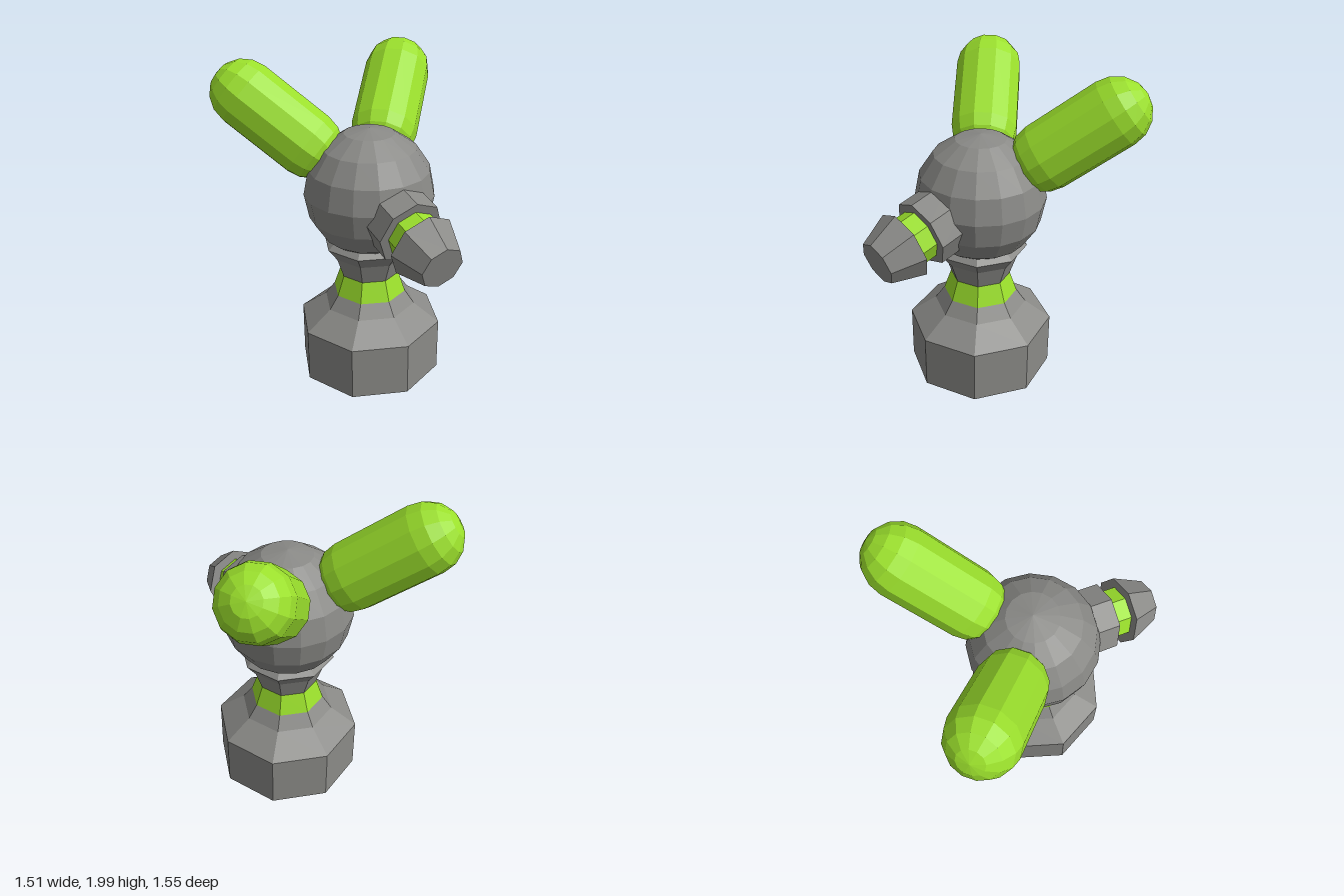
import * as THREE from 'three';

export function createModel() {
  const grey = new THREE.MeshStandardMaterial({ color: 0x8a8a87, flatShading: true });
  grey.name = 'stone grey';
  const green = new THREE.MeshStandardMaterial({ color: 0x9be02c, flatShading: true });
  green.name = 'lime green';

  const model = new THREE.Group();
  const add = (parent, name, geometry, material) => {
    const mesh = new THREE.Mesh(geometry, material);
    mesh.name = name;
    parent.add(mesh);
    return mesh;
  };
  // Eight-sided turned part from [radius, height] pairs
  const turned = (profile) =>
    new THREE.LatheGeometry(profile.map(([r, y]) => new THREE.Vector2(r, y)), 8);

  // Pedestal and head share one vertical axis
  const body = new THREE.Group();
  body.name = 'body';
  body.position.z = -0.03;
  model.add(body);
  add(body, 'base', turned([[0, 0], [0.46, 0], [0.46, 0.345], [0.295, 0.465], [0.235, 0.55]]), grey);
  add(body, 'neckBand', turned([[0.235, 0.55], [0.19, 0.68]]), green);
  add(body, 'neckCollar', turned([[0.19, 0.68], [0.235, 0.81], [0.295, 0.89], [0.25, 0.93], [0, 0.93]]), grey);
  add(body, 'head', new THREE.SphereGeometry(0.405, 16, 8), grey).position.y = 1.23;

  // Snout, built along y and tipped forward and slightly down
  const snout = new THREE.Group();
  snout.name = 'snout';
  snout.position.set(0, 1.128, 0.433);
  snout.rotation.x = Math.PI / 2 + 0.26;
  model.add(snout);
  add(snout, 'snoutCollar', turned([[0, -0.3], [0.213, -0.3], [0.213, 0], [0, 0]]), grey);
  add(snout, 'snoutBand', turned([[0.157, -0.02], [0.157, 0.14]]), green);
  add(snout, 'snoutTip', turned([[0, 0.12], [0.215, 0.12], [0.138, 0.322], [0, 0.322]]), grey);

  // Capsule ears sweep up, out and back
  for (const side of [-1, 1]) {
    const inner = new THREE.Vector3(side * 0.275, 1.502, -0.295);
    const outer = new THREE.Vector3(side * 0.55, 1.788, -0.57);
    const axis = outer.clone().sub(inner);
    const ear = add(model, side > 0 ? 'leftEar' : 'rightEar',
      new THREE.CapsuleGeometry(0.212, axis.length(), 4, 12), green);
    ear.position.copy(inner).add(outer).multiplyScalar(0.5);
    ear.quaternion.setFromUnitVectors(new THREE.Vector3(0, 1, 0), axis.normalize());
  }
  return model;
}
